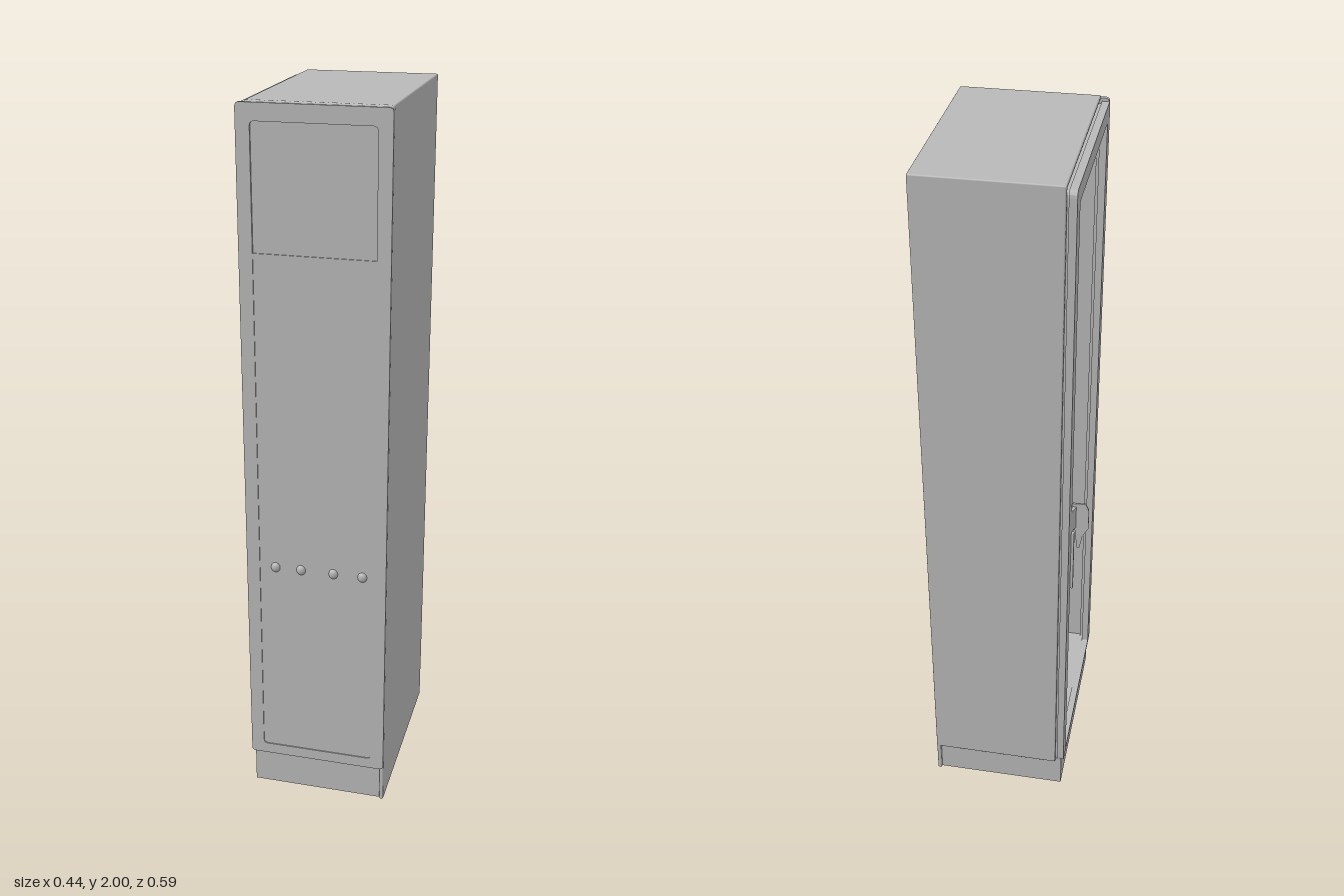
import * as THREE from 'three';
import { RoundedBoxGeometry } from 'three/addons/geometries/RoundedBoxGeometry.js';

const grey = new THREE.MeshStandardMaterial({ color: 0xb8b8b8 });
grey.name = 'painted steel grey';

function add(parent, name, geometry) {
  const mesh = new THREE.Mesh(geometry, grey);
  mesh.name = name;
  parent.add(mesh);
  return mesh;
}

// Box given by its lower and upper limits on each axis
function box(parent, name, [x0, x1], [y0, y1], [z0, z1], radius = 0) {
  const size = [x1 - x0, y1 - y0, z1 - z0];
  const geometry = radius ? new RoundedBoxGeometry(...size, 2, radius) : new THREE.BoxGeometry(...size);
  geometry.translate((x0 + x1) / 2, (y0 + y1) / 2, (z0 + z1) / 2);
  return add(parent, name, geometry);
}

function roundedRect(path, x0, x1, y0, y1, r) {
  path.moveTo(x0 + r, y0);
  path.lineTo(x1 - r, y0);
  path.quadraticCurveTo(x1, y0, x1, y0 + r);
  path.lineTo(x1, y1 - r);
  path.quadraticCurveTo(x1, y1, x1 - r, y1);
  path.lineTo(x0 + r, y1);
  path.quadraticCurveTo(x0, y1, x0, y1 - r);
  path.lineTo(x0, y0 + r);
  path.quadraticCurveTo(x0, y0, x0 + r, y0);
  return path;
}

// Extruded plate with rectangular holes
function plate(outer, holes, depth) {
  const shape = roundedRect(new THREE.Shape(), ...outer);
  for (const hole of holes) shape.holes.push(roundedRect(new THREE.Path(), ...hole));
  return new THREE.ExtrudeGeometry(shape, { depth, bevelEnabled: false, curveSegments: 4 });
}

export function createModel() {
  const model = new THREE.Group();
  model.name = 'cabinet';

  // Base
  box(model, 'plinth', [-0.17, 0.215], [0, 0.105], [-0.282, 0.275]);

  // Thin shell, open on one side
  const shell = new THREE.Group();
  shell.name = 'shell';
  model.add(shell);
  box(shell, 'floor', [-0.165, 0.21], [0.1, 0.112], [-0.28, 0.275]);
  box(shell, 'roof', [-0.153, 0.22], [1.988, 2], [-0.293, 0.284], 0.004);
  box(shell, 'backWall', [-0.153, 0.22], [0.1, 1.998], [-0.293, -0.281], 0.004);
  box(shell, 'sideWall', [0.208, 0.22], [0, 2], [-0.291, 0.284], 0.004);

  // Front door: raised border around a shallow recessed panel
  const front = new THREE.Group();
  front.name = 'frontDoor';
  model.add(front);
  const border = plate([-0.177, 0.219, 0.108, 1.995, 0.012],
    [[-0.14, 0.182, 0.14, 1.95, 0.012]], 0.012);
  border.translate(0, 0, 0.276);
  add(front, 'doorBorder', border);
  box(front, 'doorPanel', [-0.15, 0.19], [0.13, 1.62], [0.275, 0.285]);
  box(front, 'upperPanel', [-0.15, 0.19], [1.62, 1.96], [0.272, 0.282]);

  // Row of knobs, showing on both sides of the door
  for (const x of [-0.095, -0.022, 0.07, 0.152]) {
    const knob = add(front, 'knob', new THREE.SphereGeometry(0.016, 12, 8));
    knob.scale.set(0.9, 1, 0.75);
    knob.position.set(x, 0.73, 0.281);
  }

  // Frame around the open side
  const frame = plate([-0.29, 0.285, 0.105, 1.988, 0.018],
    [[-0.242, 0.242, 0.116, 1.942, 0.006]], 0.02);
  frame.rotateY(-Math.PI / 2);
  frame.translate(-0.158, 0, 0);
  add(model, 'openingFrame', frame);

  // Seam strip between frame and shell
  const seam = plate([-0.284, 0.279, 0.108, 1.983, 0.016],
    [[-0.27, 0.265, 0.112, 1.965, 0.006]], 0.014);
  seam.rotateY(-Math.PI / 2);
  seam.translate(-0.148, 0, 0);
  add(model, 'frameSeam', seam);

  // Latch: flat tapered blade on a small bracket
  const latch = new THREE.Group();
  latch.name = 'latch';
  model.add(latch);
  const outline = [[-0.176, 1.05], [-0.212, 1.052], [-0.221, 1.03], [-0.221, 0.97],
    [-0.205, 0.94], [-0.198, 0.9], [-0.19, 0.9], [-0.184, 0.96], [-0.176, 0.96]];
  const blade = new THREE.ExtrudeGeometry(
    new THREE.Shape(outline.map(([x, y]) => new THREE.Vector2(x, y))),
    { depth: 0.005, bevelEnabled: false });
  blade.translate(0, 0, -0.219);
  add(latch, 'latchBlade', blade);
  const bracket = new THREE.Shape([[-0.176, 0.25], [-0.176, 0.214], [-0.188, 0.214]]
    .map(([x, y]) => new THREE.Vector2(x, y)));
  const bracketGeometry = new THREE.ExtrudeGeometry(bracket, { depth: 0.07, bevelEnabled: false });
  bracketGeometry.rotateX(-Math.PI / 2);
  bracketGeometry.translate(0, 0.97, 0);
  add(latch, 'latchBracket', bracketGeometry);
  box(latch, 'latchRod', [-0.186, -0.176], [0.77, 0.97], [-0.246, -0.236], 0.003);

  return model;
}
